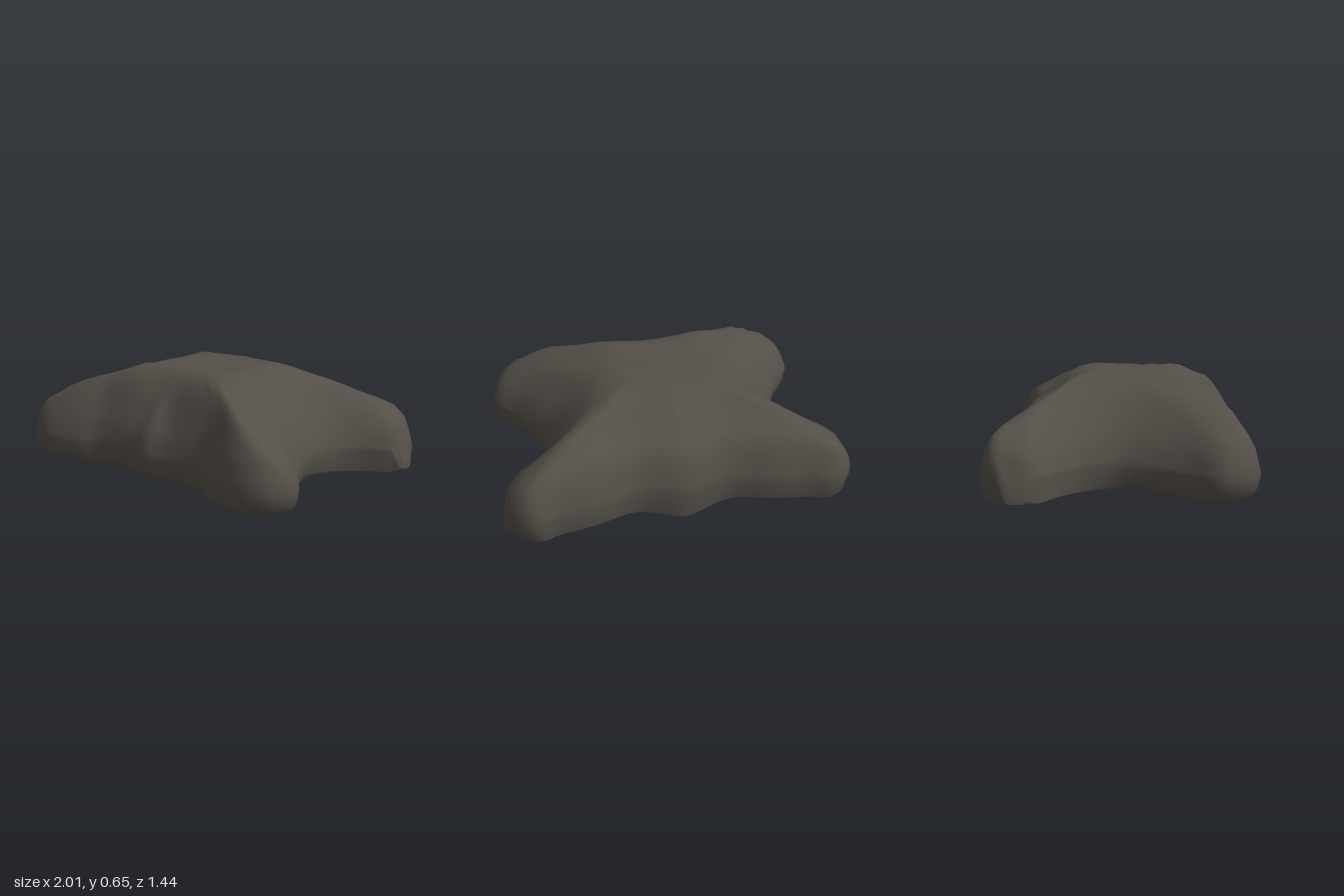
import * as THREE from 'three';

const { lerp, smoothstep, clamp } = THREE.MathUtils;

// right half of the plan outline, front to back (x, z)
const HALF = [[0, .63], [.13, .6], [.4, .6], [.52, .655], [.76, .72], [.9, .68], [.96, .6], [.98, .49],
  [.86, .33], [.77, .17], [.71, .03], [.7, -.08], [.74, -.22], [.82, -.32], [.99, -.45], [1, -.57],
  [.93, -.68], [.83, -.73], [.74, -.7], [.52, -.665], [.26, -.6], [0, -.645]];

// upper rings as outline scales; lower rings as scale, front height, back height
const UPPER = [.1, .2, .3, .4, .5, .58, .66, .74, .81, .87, .92, .96, .985, 1];
const LOWER = [[.985, .12, .07], [.955, .075, .06], [.9, .055, .055], [.6, .055, .055], [.3, .055, .055]];

// height of each flank by distance in from the outline
const FLANKS = {
  front: [[0, .19], [.03, .32], [.08, .43], [.12, .52], [.16, .59], [.24, .645], [.3, .67]],
  back: [[0, .19], [.03, .33], [.07, .42], [.11, .455], [.18, .5], [.27, .58], [.33, .64], [.4, .67]],
  side: [[0, .19], [.03, .29], [.07, .36], [.13, .44], [.2, .52], [.3, .61], [.36, .65], [.42, .67]],
};

// slopes that limit the height across the width (|x|) and along the depth (z)
const ACROSS = [[0, .66], [.3, .655], [.38, .61], [.6, .535], [.7, .485], [.8, .425], [.9, .36],
  [.95, .3], [.97, .26], [.985, .16], [1, .07]];
const ALONG = [[-.73, .2], [-.72, .25], [-.69, .34], [-.65, .425], [-.6, .46], [-.5, .5], [-.4, .585],
  [-.3, .645], [-.2, .66], [.1, .64], [.37, .655], [.48, .61], [.55, .545], [.6, .46], [.65, .39],
  [.7, .32], [.73, .2]];

function heightAt(table, t) {
  if (t <= table[0][0]) return table[0][1];
  for (let i = 1; i < table.length; i++) {
    const [a, ya] = table[i - 1], [b, yb] = table[i];
    if (t <= b) return lerp(ya, yb, (t - a) / (b - a));
  }
  return table[table.length - 1][1];
}

// smaller of two heights with a slightly rounded edge
function softMin(a, b) {
  const h = Math.max(0, .03 - Math.abs(a - b)) / .03;
  return Math.min(a, b) - h * h * .0075;
}

const flankOf = p => (p.z > .55 * Math.abs(p.x) ? 'front' : -p.z > .62 * Math.abs(p.x) ? 'back' : 'side');

// shallow keel on the underside, deepest at the back
const keel = (x, z) => .055 * Math.max(0, 1 - Math.abs(x) / .3) * clamp((.6 - z) / 1.2, 0, 1);

function rockGeometry() {
  const N = 128, mirrored = HALF.slice(1, -1).reverse().map(([x, z]) => [-x, z]);
  const curve = new THREE.CatmullRomCurve3(
    [...HALF, ...mirrored].map(([x, z]) => new THREE.Vector3(x, 0, z)), true, 'centripetal');
  const dense = curve.getSpacedPoints(N * 5).slice(0, N * 5);
  const outline = dense.filter((p, i) => i % 5 === 0);
  const edges = Object.keys(FLANKS).map(f => [FLANKS[f], dense.filter(p => flankOf(p) === f)]);

  // top surface: lowest of the flanks and slopes, with a hollow between the front arms
  function topHeight(x, z) {
    let y = softMin(heightAt(ACROSS, Math.abs(x)), heightAt(ALONG, z));
    for (const [profile, points] of edges) {
      let d = Infinity;
      for (const p of points) d = Math.min(d, Math.hypot(p.x - x, p.z - z));
      y = softMin(y, heightAt(profile, d));
    }
    y -= .11 * Math.exp(-((x / .2) ** 2) - ((z - .46) / .1) ** 2);
    return Math.max(y, .075);
  }

  const pos = [0, topHeight(0, 0), 0], index = [];
  for (const s of UPPER) {
    for (const p of outline) pos.push(p.x * s, topHeight(p.x * s, p.z * s), p.z * s);
  }
  for (const [s, front, back] of LOWER) {
    for (const p of outline) {
      const x = p.x * s, z = p.z * s;
      pos.push(x, lerp(front, back, smoothstep(-z, -.2, .3)) - keel(x, z), z);
    }
  }
  const last = pos.length / 3;
  pos.push(0, .055 - keel(0, 0), 0);

  const rings = UPPER.length + LOWER.length;
  for (let i = 0; i < N; i++) {
    const j = (i + 1) % N;
    index.push(0, 1 + i, 1 + j);
    for (let k = 0; k < rings - 1; k++) {
      const a = 1 + k * N, b = a + N;
      index.push(a + i, b + i, b + j, a + i, b + j, a + j);
    }
    index.push(last, last - N + j, last - N + i);
  }
  const g = new THREE.BufferGeometry();
  g.setAttribute('position', new THREE.Float32BufferAttribute(pos, 3));
  g.setIndex(index);
  g.computeVertexNormals();
  return g;
}

export function createModel() {
  const group = new THREE.Group();
  group.name = 'rock';
  const stone = new THREE.MeshStandardMaterial({ color: 0x544f48 });
  stone.name = 'dark stone';
  const body = new THREE.Mesh(rockGeometry(), stone);
  body.name = 'fourArmedBoulder';
  group.add(body);
  return group;
}
